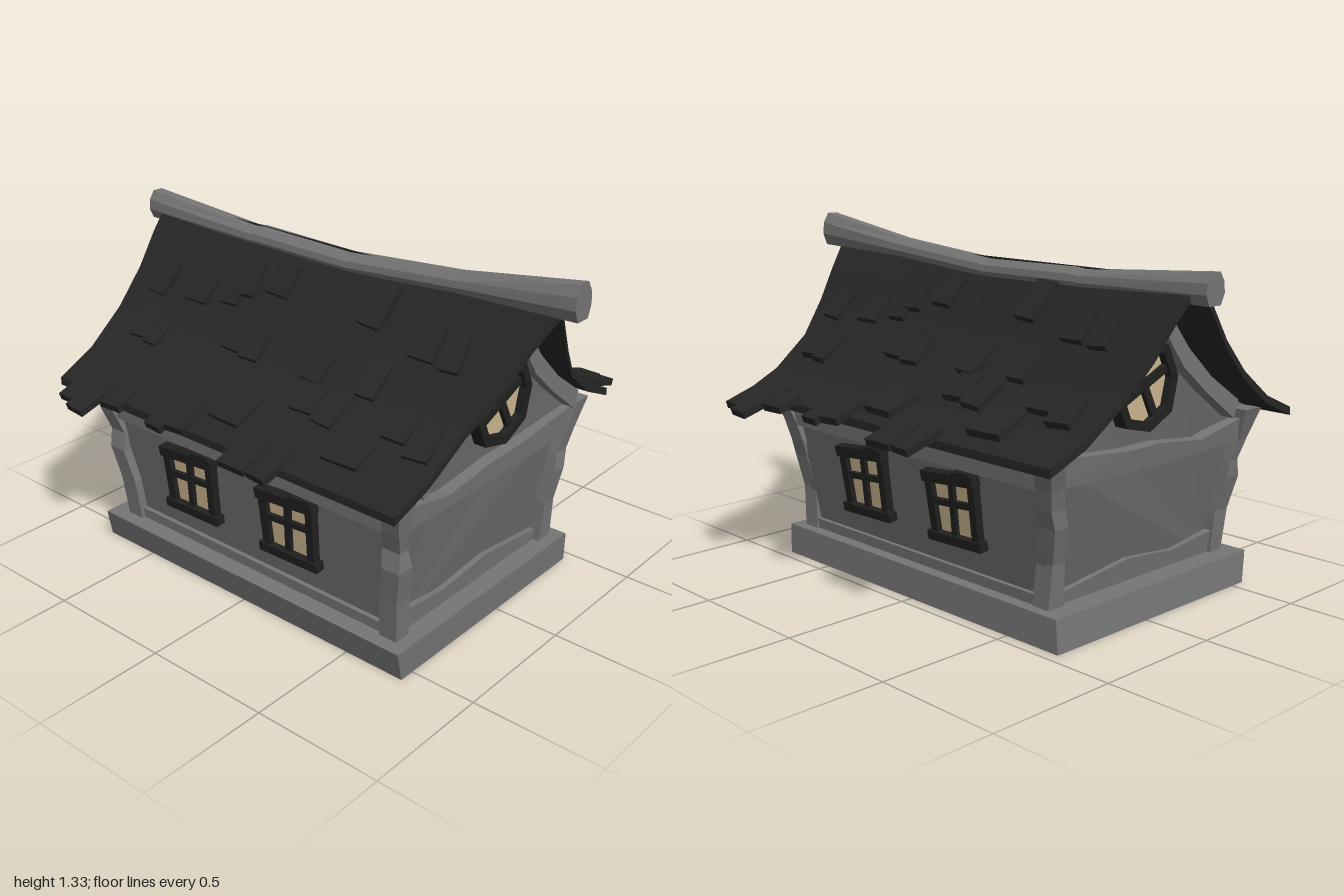
import * as THREE from 'three';

const mat = (name, color) => Object.assign(new THREE.MeshStandardMaterial({ color, flatShading: true }), { name });
const M = {
  wall: mat('wall grey', 0x6a6a6a),
  timber: mat('timber grey', 0x757575),
  roof: mat('roof charcoal', 0x262626),
  frame: mat('frame black', 0x20201f),
  glass: mat('warm glass', 0xcab48e),
};

// Makes faces point outward (by signed volume) and gives flat normals.
function finish(geo) {
  const g = geo.index ? geo.toNonIndexed() : geo;
  const p = g.attributes.position, v = [0, 1, 2].map(() => new THREE.Vector3());
  let vol = 0;
  for (let i = 0; i < p.count; i += 3) {
    v.forEach((q, k) => q.fromBufferAttribute(p, i + k));
    vol += v[0].dot(v[1].clone().cross(v[2]));
  }
  if (vol < 0) for (let i = 0; i < p.count; i += 3) {
    const a = [p.getX(i), p.getY(i), p.getZ(i)];
    p.setXYZ(i, p.getX(i + 1), p.getY(i + 1), p.getZ(i + 1));
    p.setXYZ(i + 1, ...a);
  }
  g.computeVertexNormals();
  return g;
}

// Skins a list of equal-length rings of [x, y, z] and caps both ends.
function loft(rings) {
  const n = rings[0].length, idx = [], last = (rings.length - 1) * n;
  for (let r = 0; r < rings.length - 1; r++) for (let k = 0; k < n; k++) {
    const a = r * n + k, b = r * n + (k + 1) % n;
    idx.push(a, b, b + n, a, b + n, a + n);
  }
  for (let k = 1; k < n - 1; k++) idx.push(0, k + 1, k, last, last + k, last + k + 1);
  const g = new THREE.BufferGeometry();
  g.setAttribute('position', new THREE.Float32BufferAttribute(rings.flat(2), 3));
  g.setIndex(idx);
  return finish(g);
}

const shapeOf = pts => new THREE.Shape(pts.map(p => new THREE.Vector2(...p)));
const extrude = (shape, depth) => new THREE.ExtrudeGeometry(shape, { depth, bevelEnabled: false });
const rect = (y, x0, x1, z0, z1) => [[x0, y, z0], [x1, y, z0], [x1, y, z1], [x0, y, z1]];

function add(parent, name, geo, material, pos = [0, 0, 0], rot = [0, 0, 0]) {
  const m = new THREE.Mesh(geo, material);
  m.name = name;
  m.position.set(...pos);
  m.rotation.set(...rot);
  parent.add(m);
  return m;
}

// Leaning wall planes.
const lean = y => Math.min(1, Math.max(0, (y - 0.12) / 0.52));
const endZ = (side, y) => side > 0 ? 0.65 + 0.05 * lean(y) : -0.61 - 0.09 * lean(y);
const wallX = (side, y) => side > 0 ? 0.38 + 0.08 * lean(y) : -0.5 - 0.05 * lean(y);

// Roof section: s runs from ridge (0) to eave (1).
const S = [0, 0.15, 0.3, 0.5, 0.75, 1], Y = [1.2, 1.1, 0.98, 0.86, 0.75, 0.685];
const FZ = [0.925, 0.885, 0.85, 0.8, 0.787, 0.778], BZ = [-0.938, -0.922, -0.905, -0.885, -0.868, -0.856];
const roofX = (side, s) => side > 0 ? 0.015 + 0.605 * s : 0.015 - 0.67 * s;
function roofY(s) {
  const i = Math.min(4, Math.max(0, S.findIndex(v => v > s) - 1 + (s >= 1 ? 6 : 0)));
  return Y[i] + (Y[i + 1] - Y[i]) * (s - S[i]) / (S[i + 1] - S[i]);
}
const sag = (s, t) => 0.035 * (1 - s) * (Math.pow(2 * t - 1, 2) - 0.4);

// Flat piece drawn in x/y and set on the leaning end wall.
function endPiece(side, pts, depth) {
  const g = extrude(shapeOf(pts), depth), p = g.attributes.position;
  for (let i = 0; i < p.count; i++) p.setZ(i, endZ(side, p.getY(i)) + side * (p.getZ(i) - 0.02));
  return finish(g);
}

function squareWindow() {
  const w = new THREE.Group();
  w.name = 'sideWindow';
  const bar = (name, x, y, sx, sy, sz, tilt) =>
    add(w, name, new THREE.BoxGeometry(sx, sy, sz), M.frame, [x, y, 0.01], [0, 0, tilt]);
  add(w, 'glass', new THREE.BoxGeometry(0.22, 0.22, 0.008), M.glass, [0, 0, 0.008]);
  bar('sill', 0, -0.118, 0.275, 0.035, 0.06, 0.03);
  bar('lintel', 0, 0.118, 0.27, 0.04, 0.06, 0.09);
  bar('lintelEnd', 0.075, 0.14, 0.09, 0.03, 0.056, 0.06);
  bar('jamb', -0.107, 0, 0.035, 0.25, 0.045, 0.03);
  bar('jamb', 0.11, 0, 0.032, 0.27, 0.045, -0.04);
  bar('mullion', 0, 0, 0.026, 0.23, 0.035, -0.06);
  bar('crossbar', 0, 0.02, 0.22, 0.024, 0.035, 0.08);
  return w;
}

function roundWindow() {
  const w = new THREE.Group();
  w.name = 'gableWindow';
  const ring = (r, off) => Array.from({ length: 8 }, (_, i) => {
    const a = i * Math.PI / 4 + off, k = r * (i % 2 ? 1 : 0.96);
    return [Math.cos(a) * k, Math.sin(a) * k];
  });
  const s = shapeOf(ring(0.168, 0.1));
  s.holes.push(new THREE.Path(ring(0.132, 0.1).map(p => new THREE.Vector2(...p))));
  add(w, 'rim', extrude(s, 0.05), M.frame);
  add(w, 'glass', extrude(shapeOf(ring(0.14, 0.1)), 0.008), M.glass, [0, 0, 0.012]);
  add(w, 'mullion', new THREE.BoxGeometry(0.03, 0.27, 0.03), M.frame, [0, 0, 0.022], [0, 0, 0.47]);
  add(w, 'crossbar', new THREE.BoxGeometry(0.27, 0.03, 0.03), M.frame, [0, 0, 0.022], [0, 0, 0.4]);
  return w;
}

export function createModel() {
  const house = new THREE.Group();
  house.name = 'house';

  // Plinth
  add(house, 'plinth', loft([rect(0, -0.56, 0.455, -0.74, 0.745), rect(0.118, -0.59, 0.45, -0.725, 0.75)]), M.timber);

  // Walls with gables
  const core = extrude(shapeOf([[-0.5, 0.1], [0.38, 0.1], [0.46, 0.64], [0.43, 0.72], [0.31, 0.81],
    [0.2, 0.92], [0.015, 1.14], [-0.18, 0.93], [-0.31, 0.82], [-0.47, 0.72], [-0.55, 0.64]]), 1);
  const cp = core.attributes.position;
  for (let i = 0; i < cp.count; i++) cp.setZ(i, endZ(cp.getZ(i) > 0.5 ? 1 : -1, cp.getY(i)));
  add(house, 'walls', finish(core), M.wall);

  // Crooked corner posts: y, left outer/inner x, right inner/outer x, front outer, back outer z
  const post = [[0.1, -0.535, -0.47, 0.33, 0.41, 0.7, -0.65], [0.28, -0.55, -0.475, 0.345, 0.405, 0.71, -0.665],
    [0.41, -0.565, -0.495, 0.37, 0.43, 0.73, -0.7], [0.48, -0.55, -0.505, 0.385, 0.455, 0.72, -0.705],
    [0.56, -0.575, -0.525, 0.41, 0.475, 0.735, -0.725], [0.68, -0.605, -0.51, 0.455, 0.525, 0.755, -0.765]];
  for (const zs of [5, 6]) for (const [a, b] of [[1, 2], [3, 4]])
    add(house, 'cornerPost', loft(post.map(p => rect(p[0], p[a], p[b], p[zs], p[zs] - Math.sign(p[zs]) * 0.075))), M.timber);

  for (const side of [1, -1]) {
    // End wall beams
    add(house, 'endUpperBeam', endPiece(side, [[-0.53, 0.555], [-0.06, 0.545], [0.43, 0.555], [0.47, 0.665],
      [0.1, 0.63], [-0.05, 0.63], [-0.3, 0.6], [-0.54, 0.65]], 0.055), M.timber);
    add(house, 'endLowerBeam', endPiece(side, [[-0.48, 0.11], [0.35, 0.11], [0.35, 0.16], [0, 0.205],
      [-0.25, 0.178], [-0.48, 0.205]], 0.045), M.timber);

    // Gable boards following the roof curve
    for (const k of [1, -1]) {
      const top = S.slice(0, 5).map((s, i) => [roofX(k, s), Y[i] - 0.03]);
      const low = S.slice(0, 5).map((s, i) => [roofX(k, s) - (i ? k * 0.025 : 0), Y[i] - (i % 2 ? 0.085 : 0.095)]).reverse();
      add(house, 'gableBoard', endPiece(side, [...top, ...low], 0.065), M.timber);
    }

    // Gable window
    const gw = roundWindow();
    gw.position.set(side > 0 ? -0.02 : 0.035, 0.845, endZ(side, 0.845));
    gw.rotation.y = side > 0 ? 0 : Math.PI;
    house.add(gw);

    // Side beams
    const beam = (name, y0, y1, out) => add(house, name, loft([y0, y1].map(y =>
      rect(y, wallX(side, y) - side * 0.03, wallX(side, y) + side * out, endZ(-1, y), endZ(1, y)))), M.timber);
    beam('sideUpperBeam', 0.545, 0.7, 0.025);
    beam('sideLowerBeam', 0.1, 0.158, 0.02);

    // Side windows
    for (const z of [0.27, -0.22]) {
      const w = squareWindow(), y = 0.39;
      w.position.set(wallX(side, y), y, side > 0 ? z : -z);
      w.rotation.set(side > 0 ? 0.15 : 0.096, side * Math.PI / 2, 0, 'YXZ');
      house.add(w);
    }

    // Sagging roof slope
    const T = [0, 0.25, 0.5, 0.75, 1];
    add(house, 'roofSlope', loft(S.map((s, i) => {
      const line = d => T.map(t => [roofX(side, s), Y[i] + sag(s, t) - d, BZ[i] + (FZ[i] - BZ[i]) * t]);
      return [...line(0), ...line(0.03).reverse()];
    })), M.roof);
  }

  // Loose shingles: s down the slope, z, width, length
  const shingles = [[0.32, 0.7, 0.09, 0.13], [0.3, 0.5, 0.11, 0.12], [0.2, 0.3, 0.09, 0.15], [0.17, 0.15, 0.1, 0.13],
    [0.26, 0.35, 0.08, 0.13], [0.16, -0.3, 0.1, 0.17], [0.24, -0.55, 0.1, 0.13], [0.25, -0.67, 0.08, 0.14],
    [0.45, 0.22, 0.1, 0.13], [0.47, 0.13, 0.09, 0.12], [0.46, -0.18, 0.09, 0.13], [0.44, -0.42, 0.08, 0.15],
    [0.55, 0.65, 0.1, 0.14], [0.58, 0.58, 0.07, 0.12], [0.62, -0.22, 0.1, 0.13], [0.64, -0.33, 0.1, 0.14],
    [0.6, -0.62, 0.1, 0.13], [0.64, -0.73, 0.1, 0.15], [0.82, 0.02, 0.14, 0.15], [0.8, -0.5, 0.15, 0.15],
    [1.06, -0.28, 0.09, 0.16], [1.06, -0.16, 0.12, 0.16], [0.99, 0.18, 0.1, 0.15], [1.02, 0.25, 0.08, 0.16],
    [1.05, 0.5, 0.1, 0.1], [1.08, 0.61, 0.09, 0.21], [1.06, 0.69, 0.09, 0.17]];
  for (const side of [1, -1]) shingles.forEach(([s, z, w, l], i) => {
    const slope = Math.atan2(roofY(s - 0.08) - roofY(Math.min(s + 0.08, 1.1)), 0.64 * (Math.min(s + 0.08, 1.1) - s + 0.08));
    const t = (z + 0.9) / 1.8, wob = ((i * 7) % 5 - 2) * 0.04;
    const m = add(house, 'shingle', new THREE.BoxGeometry(l, 0.028, w), M.roof,
      [side > 0 ? roofX(1, s) : -roofX(1, s) + 0.01, roofY(s) + sag(Math.min(s, 1), t) + 0.014, side > 0 ? z : -z - 0.04]);
    m.rotation.order = 'ZYX';
    m.rotation.set(0, wob, -side * (slope - 0.06));
  });

  // Bowed ridge beam: z, bottom, top
  const ridge = [[1, 1.2, 1.33], [0.52, 1.185, 1.255], [0.03, 1.145, 1.212], [-0.4, 1.145, 1.218], [-0.45, 1.145, 1.213], [-1, 1.14, 1.25]];
  add(house, 'ridgeBeam', loft(ridge.map(([z, b, t]) => [[-0.015, b, z], [0.045, b, z], [0.062, b + (t - b) * 0.35, z],
    [0.058, b + (t - b) * 0.7, z], [0.035, t, z], [-0.008, t, z], [-0.03, b + (t - b) * 0.7, z], [-0.034, b + (t - b) * 0.35, z]])), M.timber);

  return house;
}
